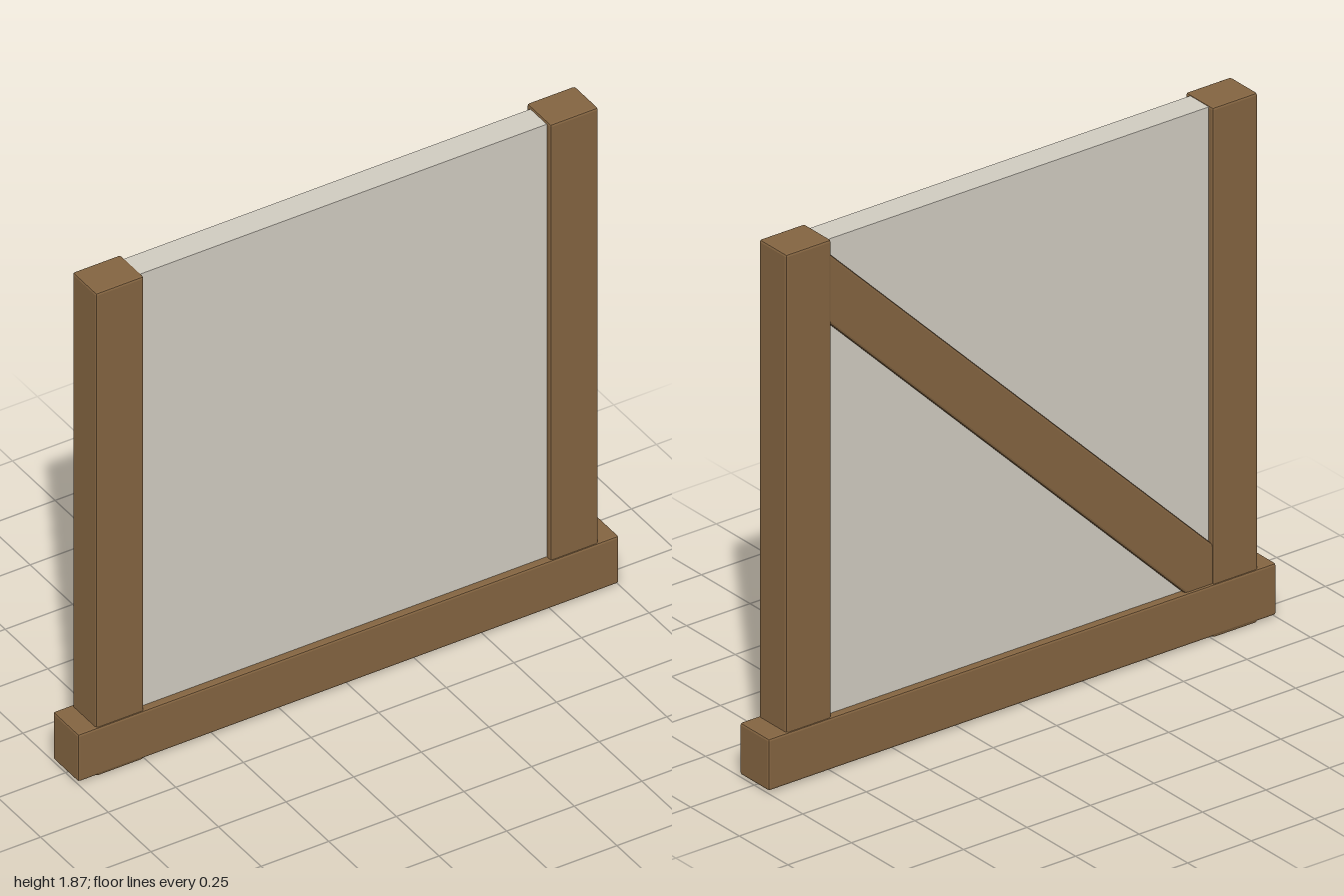
import * as THREE from 'three';
import { RoundedBoxGeometry } from 'three/addons/geometries/RoundedBoxGeometry.js';

export function createModel() {
  const group = new THREE.Group();
  const wood = new THREE.MeshStandardMaterial({ color: 0x826340, flatShading: true });
  const plaster = new THREE.MeshStandardMaterial({ color: 0xcfcabf, flatShading: true });

  // Timber with slightly eased edges
  function beam(name, w, h, d, x, y, z) {
    const mesh = new THREE.Mesh(new RoundedBoxGeometry(w, h, d, 1, 0.008), wood);
    mesh.name = name;
    mesh.position.set(x, y, z);
    group.add(mesh);
    return mesh;
  }

  // Sill along the ground
  beam('sill', 2, 0.182, 0.15, 0, 0.099, 0);

  // Upright posts; the right one passes just below the sill
  beam('rightPost', 0.178, 1.86, 0.14, -0.842, 0.93, 0);
  beam('leftPost', 0.178, 1.855, 0.14, 0.838, 0.9375, 0);

  // Diagonal brace on the back, its ends let into the posts and sill
  const brace = beam('brace', 2.3, 0.175, 0.06, 0, 0.95, -0.036);
  brace.rotation.z = Math.atan(0.985);

  // Infill panel between the posts
  const panel = new THREE.Mesh(new THREE.BoxGeometry(1.6, 1.756, 0.096), plaster);
  panel.name = 'infillPanel';
  panel.position.set(0, 0.978, 0);
  group.add(panel);

  return group;
}
